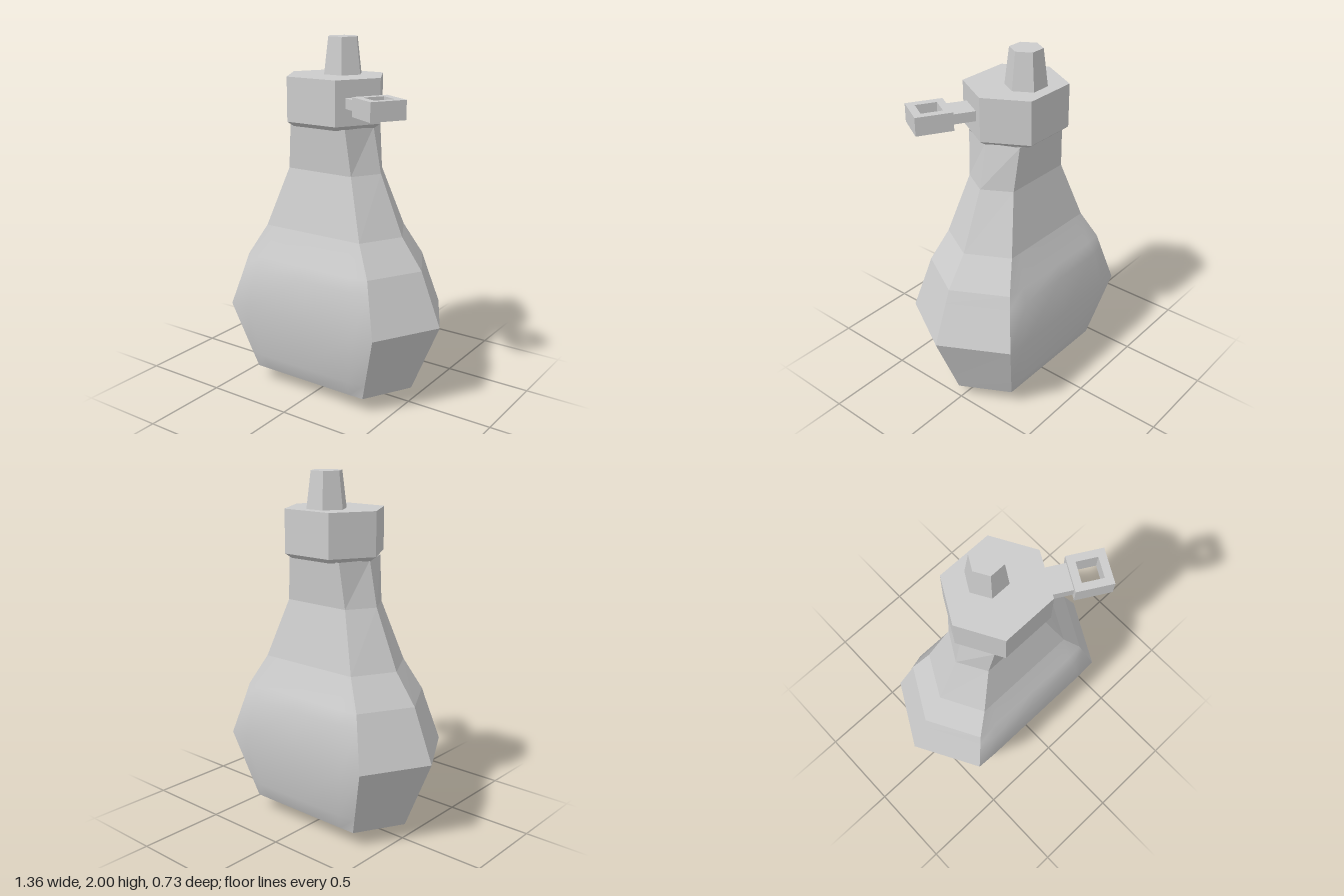
import * as THREE from 'three';

const flat = () => new THREE.MeshStandardMaterial({ color: 0xcccccc, flatShading: true, side: THREE.DoubleSide });
const smooth = () => new THREE.MeshStandardMaterial({ color: 0xcccccc, side: THREE.DoubleSide });

// Body cross-sections: y, x of the side ridge, x of the front corner, z of the front corner, swell of the panel
const SECTIONS = [
  [0, 0, 0, 0, 0],
  [0.09, 0.515, 0.365, 0.27, 0],
  [0.19, 0.556, 0.394, 0.293, 0.022],
  [0.49, 0.68, 0.48, 0.36, 0.005],
  [0.72, 0.588, 0.418, 0.306, 0.028],
  [0.79, 0.56, 0.4, 0.29, 0.007],
  [0.96, 0.435, 0.31, 0.23, 0],
  [1.29, 0.295, 0.205, 0.155, 0],
  [1.54, 0.245, 0.178, 0.174, 0],
];

// Joins rows of points (left to right, bottom to top) into a surface
function loft(rows) {
  const n = rows[0].length, index = [];
  for (let r = 0; r < rows.length - 1; r++) {
    for (let c = 0; c < n - 1; c++) {
      const a = r * n + c, b = a + n;
      index.push(a, a + 1, b + 1, a, b + 1, b);
    }
  }
  const geo = new THREE.BufferGeometry();
  geo.setAttribute('position', new THREE.Float32BufferAttribute(rows.flat(2), 3));
  geo.setIndex(index);
  geo.computeVertexNormals();
  return geo;
}

const panelRow = ([y, , xc, z, swell]) =>
  [-1, -0.75, 0, 0.75, 1].map((u) => [u * xc, y, z + (Math.abs(u) < 1 ? swell : 0)]);
const sideRow = ([y, xr, xc, z]) => [[xc, y, z], [xr, y, 0], [xc, y, -z]];

export function createModel() {
  const model = new THREE.Group();
  const add = (name, geo, material, parent = model) => {
    const mesh = new THREE.Mesh(geo, material);
    mesh.name = name;
    parent.add(mesh);
    return mesh;
  };

  // Flask body: each half has a swollen broad panel, a neck, a base and a ridged side
  const body = new THREE.Group();
  body.name = 'flaskBody';
  model.add(body);
  for (const turn of [0, Math.PI]) {
    const half = new THREE.Group();
    half.name = turn ? 'backHalf' : 'frontHalf';
    half.rotation.y = turn;
    add('broadPanel', loft(SECTIONS.slice(1, 7).map(panelRow)), smooth(), half);
    add('neckPanel', loft(SECTIONS.slice(6).map(panelRow)), flat(), half);
    add('basePanel', loft(SECTIONS.slice(0, 2).map(panelRow)), flat(), half);
    add('ridgedSide', loft(SECTIONS.map(sideRow)), flat(), half);
    body.add(half);
  }

  // Six-sided cap with a bevelled lower rim
  const hexagon = (y, xr, xc, z) =>
    [[xr, 0], [xc, -z], [-xc, -z], [-xr, 0], [-xc, z], [xc, z], [xr, 0]].map(([x, d]) => [x, y, d]).reverse();
  const capRows = [
    hexagon(1.535, 0, 0, 0),
    hexagon(1.535, 0.25, 0.135, 0.2),
    hexagon(1.56, 0.285, 0.156, 0.23),
    hexagon(1.8, 0.285, 0.156, 0.23),
    hexagon(1.8, 0, 0, 0),
  ].map((row) => row.reverse());
  add('cap', loft(capRows), flat());

  // Tapered stopper, set towards the back of the cap
  const stopper = add('stopper', new THREE.CylinderGeometry(0.088, 0.113, 0.2, 6), flat());
  stopper.rotation.y = Math.PI / 6 + Math.PI / 3;
  stopper.position.set(0, 1.9, -0.068);

  // Square loop on a short peg, pointing out from the front left face of the cap
  const handle = new THREE.Group();
  handle.name = 'sideLoop';
  handle.position.y = 1.68;
  handle.rotation.y = -Math.PI / 6;
  model.add(handle);

  const square = (Path, r) =>
    new Path([[-r, -r], [r, -r], [r, r], [-r, r]].map(([x, y]) => new THREE.Vector2(x, y)));
  const frame = square(THREE.Shape, 0.1);
  frame.holes.push(square(THREE.Path, 0.058));
  const loopGeo = new THREE.ExtrudeGeometry(frame, { depth: 0.1, bevelEnabled: false });
  loopGeo.translate(0, 0, -0.05).rotateX(Math.PI / 2);
  add('loop', loopGeo, flat(), handle).position.set(0.472, 0, -0.014);

  const peg = add('peg', new THREE.BoxGeometry(0.16, 0.055, 0.15), flat(), handle);
  peg.position.set(0.295, 0, -0.012);

  return model;
}
